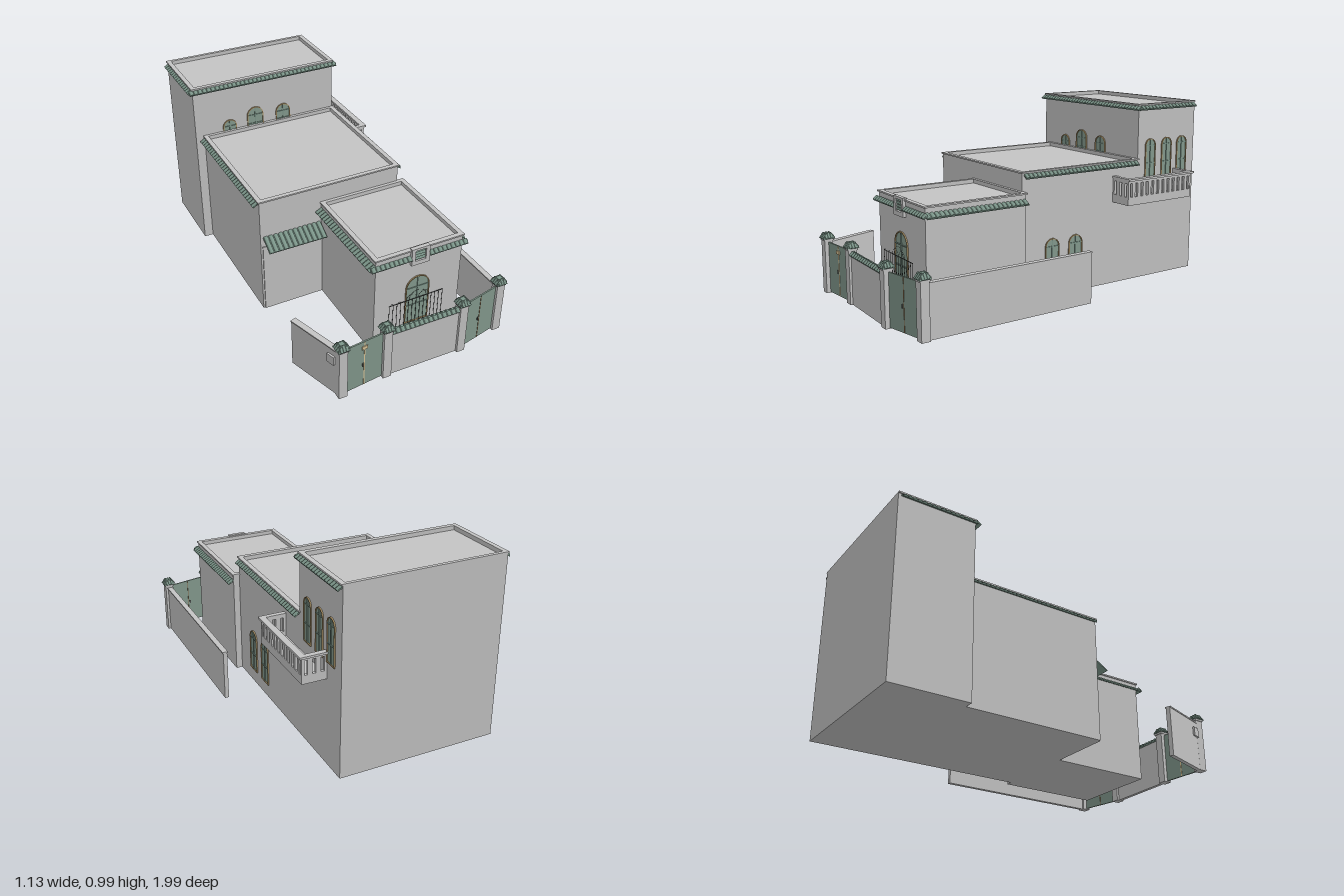
import * as THREE from 'three';
import { mergeGeometries } from 'three/addons/utils/BufferGeometryUtils.js';

const mat = (name, color) => Object.assign(new THREE.MeshStandardMaterial({ color }), { name });

export function createModel() {
  const model = new THREE.Group();
  model.name = 'courtyardHouse';
  const wall = mat('grey plaster', 0xc4c4c4);
  const tile = mat('green roof tile', 0x7c968a);
  const door = mat('green gate', 0x82988c);
  const glass = mat('green glass', 0x869c90);
  const trim = mat('tan window trim', 0xb0976a);
  const gold = mat('gold gate trim', 0xdcc698);
  const iron = mat('dark iron', 0x505452);
  const seam = mat('brown seam', 0x866a4a);
  glass.side = THREE.DoubleSide;

  const add = (parent, name, geo, m) => {
    const mesh = new THREE.Mesh(geo, m);
    mesh.name = name;
    parent.add(mesh);
    return mesh;
  };
  // box given by its min and max corners
  const box = (parent, name, m, x0, x1, y0, y1, z0, z1) => {
    const b = add(parent, name, new THREE.BoxGeometry(x1 - x0, y1 - y0, z1 - z0), m);
    b.position.set((x0 + x1) / 2, (y0 + y1) / 2, (z0 + z1) / 2);
    return b;
  };
  const group = (parent, name, x, y, z, ry = 0) => {
    const g = new THREE.Group();
    g.name = name;
    g.position.set(x, y, z);
    g.rotation.y = ry;
    parent.add(g);
    return g;
  };
  const rect = (C, x0, x1, y0, y1) => new C([[x0, y0], [x1, y0], [x1, y1], [x0, y1]]
    .map(p => new THREE.Vector2(...p)));
  const extrude = (s, depth) => new THREE.ExtrudeGeometry(s, { depth, bevelEnabled: false, curveSegments: 8 });
  const H = Math.PI / 2;

  // sloping row of barrel tiles: runs along local x, falls towards local +z
  const tileRow = (parent, name, x, y, z, ry, len, depth, drop, r = 0.011) => {
    const g = group(parent, name, x, y, z, ry);
    const n = Math.max(1, Math.round(len / (2.3 * r)));
    const run = Math.hypot(depth, drop), tilt = Math.atan2(drop, depth);
    const parts = [new THREE.BoxGeometry(len, 0.006, run).rotateX(tilt).translate(0, -drop / 2, depth / 2)];
    for (let i = 0; i < n; i++)
      parts.push(new THREE.CylinderGeometry(r, r, run * 1.05, 6, 1, false, H, Math.PI)
        .scale(1, 1, 0.75).rotateX(H + tilt)
        .translate(-len / 2 + (i + 0.5) * len / n, -drop / 2 + 0.002, depth / 2));
    add(g, 'barrelTiles', mergeGeometries(parts), tile);
  };

  // block with a recessed flat roof and a thin coping
  const block = (name, x0, x1, z0, z1, h) => {
    const g = group(model, name, 0, 0, 0);
    box(g, 'walls', wall, x0, x1, 0, h - 0.022, z0, z1);
    const ring = (o, w, y, d, label) => {
      const s = rect(THREE.Shape, x0 - o, x1 + o, -z1 - o, -z0 + Math.min(o, z0 + 1));
      s.holes.push(rect(THREE.Path, x0 + w, x1 - w, -z1 + w, -z0 - w));
      add(g, label, extrude(s, d).rotateX(-H).translate(0, y, 0), wall);
    };
    ring(0, 0.018, h - 0.022, 0.014, 'parapet');
    ring(0.007, 0.018, h - 0.008, 0.008, 'coping');
    return g;
  };
  const back = block('backBlock', -0.54, 0.32, -1, -0.575, 0.985);
  tileRow(back, 'frontEave', -0.11, 0.968, -0.577, 0, 0.9, 0.022, 0.014);
  tileRow(back, 'rightEave', -0.54, 0.968, -0.78, -H, 0.41, 0.024, 0.014);
  tileRow(back, 'leftEave', 0.32, 0.968, -0.78, H, 0.43, 0.023, 0.014);
  const mid = block('middleBlock', -0.49, 0.32, -0.575, 0.2, 0.685);
  tileRow(mid, 'rightEave', -0.49, 0.669, -0.19, -H, 0.76, 0.028, 0.017);
  tileRow(mid, 'leftEave', 0.32, 0.669, -0.19, H, 0.76, 0.025, 0.017);
  const front = block('frontBlock', -0.14, 0.355, 0.2, 0.775, 0.585);
  tileRow(front, 'rightEave', -0.14, 0.546, 0.49, -H, 0.58, 0.034, 0.018);
  tileRow(front, 'leftEave', 0.355, 0.546, 0.49, H, 0.58, 0.03, 0.018);
  tileRow(front, 'frontEaveRight', -0.057, 0.546, 0.775, 0, 0.225, 0.02, 0.016);
  tileRow(front, 'frontEaveLeft', 0.268, 0.546, 0.775, 0, 0.222, 0.02, 0.016);

  // louvred vent breaking the front eave
  const vent = group(model, 'parapetVent', 0.105, 0.543, 0.768);
  const vs = rect(THREE.Shape, -0.051, 0.051, -0.048, 0.049);
  vs.holes.push(rect(THREE.Path, -0.03, 0.03, -0.025, 0.036));
  add(vent, 'ventFrame', extrude(vs, 0.022), wall);
  box(vent, 'ventBack', wall, -0.03, 0.03, -0.025, 0.036, 0, 0.008);
  for (let i = 0; i < 4; i++) {
    const l = box(vent, 'louvre', tile, -0.029, 0.029, -0.021 + i * 0.015, -0.009 + i * 0.015, 0.01, 0.016);
    l.rotation.x = -0.4;
  }

  // awning beside the front block
  const awning = group(model, 'awning', 0, 0, 0);
  box(awning, 'awningWall', wall, -0.48, -0.14, 0, 0.405, 0.195, 0.206);
  tileRow(awning, 'awningTiles', -0.31, 0.458, 0.2, 0, 0.33, 0.08, 0.048, 0.0115);

  // arched windows: local origin at the sill centre, facing local +z
  const arch = (C, w, h, o) => {
    const r = w / 2 - o, s = new C();
    s.moveTo(-r, o);
    s.lineTo(r, o);
    s.lineTo(r, h - w / 2);
    s.absarc(0, h - w / 2, r, 0, Math.PI, false);
    s.lineTo(-r, o);
    return s;
  };
  const archWindow = (name, x, y, z, ry, w, h) => {
    const g = group(model, name, x, y, z, ry);
    const s = arch(THREE.Shape, w, h, 0);
    s.holes.push(arch(THREE.Path, w, h, 0.005));
    add(g, 'windowFrame', extrude(s, 0.007), trim);
    add(g, 'windowPane', new THREE.ShapeGeometry(arch(THREE.Shape, w, h, 0.004), 8).translate(0, 0, 0.002), glass);
    box(g, 'mullion', tile, -0.003, 0.003, 0.005, h - 0.005, 0.001, 0.006);
    for (const t of [h - w / 2, (h - w / 2) / 2])
      box(g, 'transom', tile, -w / 2 + 0.005, w / 2 - 0.005, t - 0.003, t + 0.003, 0.001, 0.006);
  };
  [[-0.335, 0.082, 0.75], [-0.177, 0.1, 0.796], [-0.002, 0.09, 0.777]].forEach(([x, w, top]) =>
    archWindow('upperFrontWindow', x, 0.64, -0.575, 0, w, top - 0.64));
  [-0.665, -0.787, -0.903].forEach(z => archWindow('balconyWindow', 0.32, 0.553, z, H, 0.075, 0.237));
  [-0.143, 0.01].forEach(z => archWindow('sideWindow', 0.32, 0.077, z, H, 0.09, 0.238));
  archWindow('frontWindow', 0.105, 0.13, 0.775, 0, 0.137, 0.285);

  // iron railing before the front window
  const rail = group(model, 'ironRailing', 0.095, 0, 0.792);
  box(rail, 'topRail', iron, -0.16, 0.155, 0.286, 0.289, -0.0015, 0.0015);
  box(rail, 'bottomRail', iron, -0.16, 0.155, 0.13, 0.133, -0.0015, 0.0015);
  for (let i = 0; i <= 14; i++) {
    const x = -0.158 + i * 0.0222;
    box(rail, 'bar', iron, x - 0.001, x + 0.001, 0.13, 0.288, -0.001, 0.001);
  }
  [[-0.03, 0.032], [0.04, 0.032], [0.005, 0.05], [-0.145, 0.008], [-0.1, 0.008]].forEach(([x, r]) =>
    add(rail, 'scroll', new THREE.TorusGeometry(r, 0.0008, 4, 14, Math.PI), iron).position.set(x, 0.288, 0));

  // balcony with slotted parapets
  const balcony = group(model, 'balcony', 0, 0, 0);
  box(balcony, 'balconyFloor', wall, 0.32, 0.447, 0.46, 0.48, -0.86, -0.4);
  const slotted = (name, x, z, ry, len, n) => {
    const g = group(balcony, name, x, 0.46, z, ry);
    const s = rect(THREE.Shape, 0, len, 0, 0.135);
    for (let i = 0; i < n; i++) {
      const c = (i + 0.5) * len / n;
      s.holes.push(rect(THREE.Path, c - 0.009, c + 0.009, 0.045, 0.12));
    }
    add(g, 'slottedPanel', extrude(s, 0.015), wall);
  };
  slotted('outerPanel', 0.433, -0.4, H, 0.46, 12);
  slotted('frontPanel', 0.32, -0.415, 0, 0.127, 3);
  slotted('backPanel', 0.32, -0.86, 0, 0.127, 3);
  box(balcony, 'outerRail', wall, 0.428, 0.461, 0.594, 0.605, -0.872, -0.395);
  box(balcony, 'frontRail', wall, 0.32, 0.433, 0.594, 0.605, -0.42, -0.395);
  box(balcony, 'backRail', wall, 0.32, 0.433, 0.594, 0.605, -0.872, -0.845);

  // fence posts with small tiled caps
  const posts = [[-0.416, 0.956], [-0.16, 0.932], [0.267, 0.942], [0.527, 0.887]];
  posts.forEach(([x, z]) => {
    const g = group(model, 'fencePost', x, 0, z);
    box(g, 'shaft', wall, -0.023, 0.023, 0, 0.293, -0.023, 0.023);
    box(g, 'capSlab', wall, -0.027, 0.027, 0.288, 0.298, -0.027, 0.027);
    const cap = add(g, 'cap', new THREE.CylinderGeometry(0.022, 0.046, 0.028, 4, 1).toNonIndexed(), tile);
    cap.geometry.computeVertexNormals();
    cap.rotation.y = Math.PI / 4;
    cap.position.y = 0.312;
    for (let i = 0; i < 4; i++)
      tileRow(g, 'capTiles', Math.sin(i * H) * 0.013, 0.324, Math.cos(i * H) * 0.013, i * H, 0.044, 0.02, 0.024, 0.0065);
  });

  // fence panels: local x runs between two points, origin halfway
  const span = (name, [x0, z0], [x1, z1]) => {
    const g = group(model, name, (x0 + x1) / 2, 0, (z0 + z1) / 2, Math.atan2(z0 - z1, x1 - x0));
    return [g, Math.hypot(x1 - x0, z1 - z0) / 2];
  };
  const plain = (name, a, b, t, h, coping) => {
    const [g, l] = span(name, a, b);
    box(g, 'fenceWall', wall, -l, l, 0, h, -t / 2, t / 2);
    if (coping) box(g, 'fenceCoping', wall, -l, l, h, h + 0.007, -t / 2 - 0.004, t / 2 + 0.004);
    return g;
  };
  const low = plain('frontFence', posts[1], posts[2], 0.02, 0.262, false);
  tileRow(low, 'fenceTilesFront', 0, 0.277, 0, 0, 0.39, 0.017, 0.016);
  tileRow(low, 'fenceTilesBack', 0, 0.277, 0, Math.PI, 0.39, 0.017, 0.016);
  plain('leftFence', [0.525, 0.88], [0.525, -0.085], 0.022, 0.27, true);
  const stub = plain('rightFence', [-0.52, 0.648], [-0.422, 0.945], 0.024, 0.27, true);
  box(stub, 'meterBox', wall, 0.095, 0.14, 0.185, 0.235, 0.01, 0.022);

  // double gates
  const gate = (name, a, b, strip, w) => {
    const [g, l] = span(name, a, b);
    box(g, 'gateLeaves', door, -l, l, 0.005, 0.28, -0.004, 0.004);
    box(g, 'meetingStrip', strip, -w, w, 0.006, 0.278, -0.006, 0.006);
    box(g, 'handle', iron, -0.014, -0.008, 0.126, 0.146, -0.008, 0.008);
    return g;
  };
  const main = gate('mainGate', posts[0], posts[1], gold, 0.003);
  box(main, 'gatePlate', gold, -0.016, 0.016, 0.235, 0.254, 0.004, 0.009);
  gate('sideGate', posts[2], posts[3], seam, 0.0015);
  return model;
}
